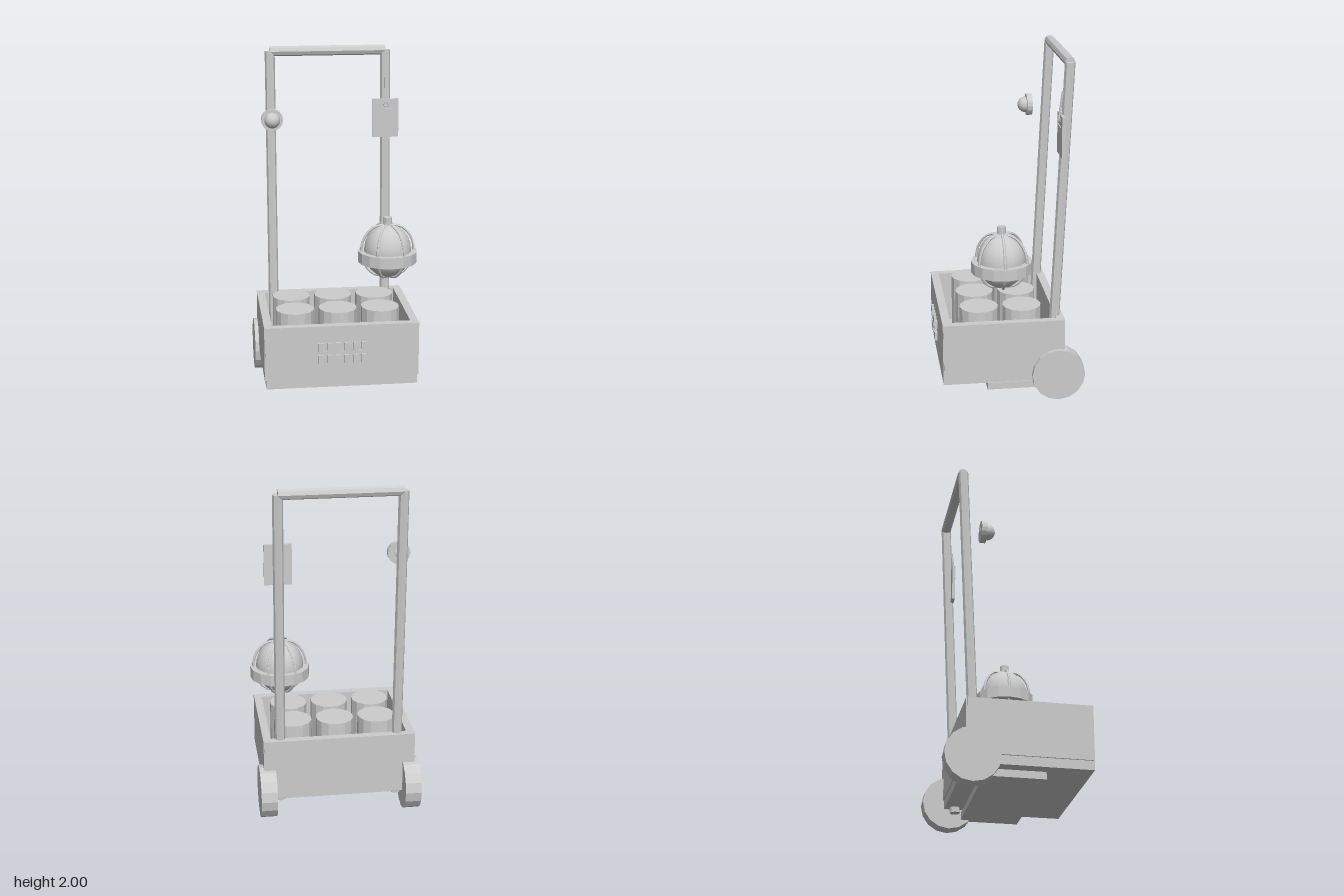
import * as THREE from 'three';

export function createModel() {
  const model = new THREE.Group();
  model.name = 'handCart';
  const grey = new THREE.MeshStandardMaterial({ color: 0xcccccc, flatShading: true });
  grey.name = 'plain grey';
  const smooth = new THREE.MeshStandardMaterial({ color: 0xcccccc });
  smooth.name = 'plain grey smooth';

  const add = (name, geo, x = 0, y = 0, z = 0, mat = grey) => {
    const mesh = new THREE.Mesh(geo, mat);
    mesh.name = name;
    mesh.position.set(x, y, z);
    model.add(mesh);
    return mesh;
  };
  // Box given by its limits on each axis
  const slab = (name, x0, x1, y0, y1, z0, z1) =>
    add(name, new THREE.BoxGeometry(x1 - x0, y1 - y0, z1 - z0), (x0 + x1) / 2, (y0 + y1) / 2, (z0 + z1) / 2);
  // Straight rod between two points
  const rod = (name, a, b, r, sides) => {
    const from = new THREE.Vector3(...a), to = new THREE.Vector3(...b);
    const dir = to.clone().sub(from);
    const mesh = add(name, new THREE.CylinderGeometry(r, r, dir.length(), sides));
    mesh.position.copy(from).add(to).multiplyScalar(0.5);
    mesh.quaternion.setFromUnitVectors(new THREE.Vector3(0, 1, 0), dir.normalize());
    return mesh;
  };

  // Open crate
  slab('crateFloor', -0.45, 0.43, 0.117, 0.175, -0.3, 0.4);
  slab('crateFront', -0.452, 0.432, 0.17, 0.488, 0.353, 0.401);
  slab('crateBack', -0.452, 0.432, 0.17, 0.488, -0.307, -0.26);
  slab('crateRight', -0.459, -0.412, 0.17, 0.488, -0.302, 0.396);
  slab('crateLeft', 0.392, 0.438, 0.17, 0.488, -0.302, 0.396);
  slab('toePlate', -0.42, 0.4, 0.058, 0.1, -0.2, 0.14);

  // Six canisters
  for (const z of [-0.08, 0.173])
    for (const x of [-0.263, -0.01, 0.242])
      add('canister', new THREE.CylinderGeometry(0.113, 0.113, 0.35, 14), x, 0.35, z);

  // Loose bars lying in the crate
  for (const [x, z, turn] of [[-0.248, 0.046, 0], [-0.12, -0.075, 0.665], [0.143, -0.08, -1.13], [0.02, 0, 1.3]])
    add('looseBar', new THREE.BoxGeometry(0.285, 0.05, 0.093), x, 0.2, z).rotation.y = turn;

  // Wheels
  for (const x of [-0.435, 0.417])
    add('wheel', new THREE.CylinderGeometry(0.155, 0.155, 0.095, 16), x, 0.156, -0.27).rotation.z = Math.PI / 2;

  // Handle
  for (const x of [-0.357, 0.337])
    rod('handlePost', [x, 0.085, -0.241], [x, 1.972, -0.329], 0.03, 8);
  rod('handleBar', [-0.357, 1.971, -0.33], [0.337, 1.971, -0.33], 0.03, 8);

  // Front panel of small pads, joined in pairs
  for (const cx of [-0.11, -0.01, 0.09]) {
    for (const dx of [-0.025, 0.025])
      for (const y of [0.367, 0.293])
        add('pad', new THREE.BoxGeometry(0.028, 0.05, 0.016), cx + dx, y, 0.416);
    add('padLink', new THREE.BoxGeometry(0.04, 0.006, 0.012), cx, 0.342, 0.416);
  }

  // Round bell beside the right post
  add('bellRim', new THREE.CylinderGeometry(0.065, 0.065, 0.033, 16), -0.357, 1.58, -0.206).rotation.x = Math.PI / 2;
  add('bellDome', new THREE.SphereGeometry(0.047, 16, 12), -0.357, 1.58, -0.184, smooth);

  // Hanging tag
  slab('tag', 0.259, 0.415, 1.447, 1.68, -0.294, -0.276);
  rod('tagCord', [0.337, 1.65, -0.27], [0.337, 1.81, -0.291], 0.007, 6);
  add('tagEyelet', new THREE.TorusGeometry(0.014, 0.004, 6, 12), 0.337, 1.65, -0.274);
  slab('tagClip', 0.295, 0.375, 1.612, 1.62, -0.278, -0.27);

  // Caged lantern
  const lx = 0.304, lz = 0.046;
  add('lanternGlobe', new THREE.SphereGeometry(0.142, 16, 12), lx, 0.825, lz, smooth).scale.y = 1.15;
  add('lanternBelt', new THREE.CylinderGeometry(0.176, 0.176, 0.066, 16), lx, 0.792, lz);
  add('lanternKnob', new THREE.CylinderGeometry(0.026, 0.026, 0.06, 10), lx, 1.0, lz);
  const ribPath = new THREE.CatmullRomCurve3(
    [[0.02, 0.985], [0.085, 0.968], [0.137, 0.91], [0.158, 0.83], [0.138, 0.745], [0.085, 0.683], [0.01, 0.666]]
      .map(([r, y]) => new THREE.Vector3(r, y, 0)));
  const ribGeo = new THREE.TubeGeometry(ribPath, 14, 0.008, 6);
  for (let i = 0; i < 6; i++)
    add('lanternRib', ribGeo, lx, 0, lz).rotation.y = i * Math.PI / 3;

  return model;
}
